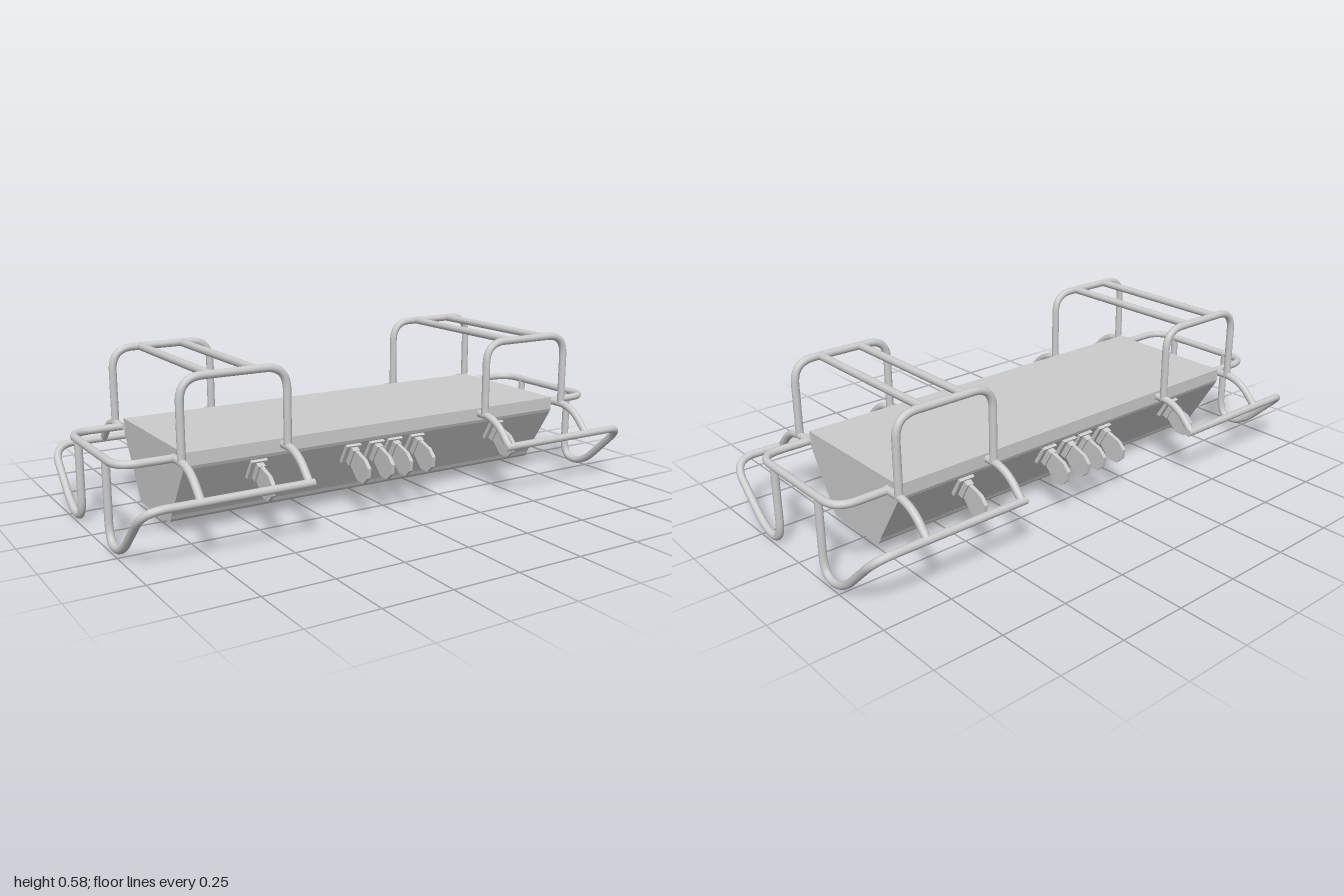
import * as THREE from 'three';

const mat = new THREE.MeshStandardMaterial({ color: 0xcccccc });
const R = 0.014; // pipe radius

// Capped pipe through corner points, each corner rounded by up to `bend`.
function pipe(name, pts, bend = 0.08) {
  const v = pts.map(p => new THREE.Vector3(...p));
  const path = new THREE.CurvePath();
  let from = v[0];
  for (let i = 1; i < v.length - 1; i++) {
    const toward = (q, half) => {
      const d = q.clone().sub(v[i]);
      const len = d.length();
      return d.multiplyScalar(Math.min(bend, len * half) / len).add(v[i]);
    };
    const a = toward(v[i - 1], i === 1 ? 0.9 : 0.49);
    const b = toward(v[i + 1], i === v.length - 2 ? 0.9 : 0.49);
    path.add(new THREE.LineCurve3(from, a));
    path.add(new THREE.QuadraticBezierCurve3(a, v[i], b));
    from = b;
  }
  path.add(new THREE.LineCurve3(from, v[v.length - 1]));
  const group = new THREE.Group();
  group.name = name;
  const tube = new THREE.Mesh(new THREE.TubeGeometry(path, v.length > 2 ? 30 * (v.length - 1) : 1, R, 12), mat);
  tube.name = name + 'Tube';
  group.add(tube);
  for (const [end, before] of [[v[0], v[1]], [v[v.length - 1], v[v.length - 2]]]) {
    const cap = new THREE.Mesh(new THREE.CircleGeometry(R, 12), mat);
    cap.name = name + 'Cap';
    cap.position.copy(end);
    cap.quaternion.setFromUnitVectors(new THREE.Vector3(0, 0, 1), end.clone().sub(before).normalize());
    group.add(cap);
  }
  return group;
}

// Cross-section in (z, y), extruded along x and centred.
function slab(name, section, width) {
  const shape = new THREE.Shape(section.map(p => new THREE.Vector2(...p)));
  const geo = new THREE.ExtrudeGeometry(shape, { depth: width, bevelEnabled: false });
  geo.translate(0, 0, -width / 2).rotateY(-Math.PI / 2);
  const mesh = new THREE.Mesh(geo, mat);
  mesh.name = name;
  return mesh;
}

// Valve: wide flange on the sloped wall, neck and thin paddle.
function valve() {
  const g = new THREE.Group();
  g.name = 'valve';
  g.add(
    slab('valveFlange', [[0.262, 0.256], [0.222, 0.187], [0.238, 0.181], [0.277, 0.249]], 0.06),
    slab('valveNeck', [[0.272, 0.245], [0.235, 0.184], [0.26, 0.176], [0.294, 0.236]], 0.026),
    slab('valvePaddle', [[0.29, 0.236], [0.349, 0.216], [0.374, 0.19], [0.369, 0.154],
      [0.342, 0.13], [0.304, 0.132], [0.26, 0.176]], 0.014)
  );
  return g;
}

export function createModel() {
  const model = new THREE.Group();
  model.name = 'framedTank';

  // Tank: flat lid, sloped walls, rounded lower edges
  const half = [[0.12, 0.04], [0.134, 0.045], [0.143, 0.055], [0.15, 0.07], [0.268, 0.258], [0.273, 0.27], [0.273, 0.316]];
  const section = [...half, ...half.map(([z, y]) => [-z, y]).reverse()];
  model.add(slab('tank', section, 1.55));

  // Valves along both long walls
  for (const turn of [0, Math.PI]) {
    for (const x of [-0.507, -0.138, -0.04, 0.038, 0.135, 0.505]) {
      const v = valve();
      v.position.x = x;
      v.rotation.y = turn;
      model.add(v);
    }
  }

  // Tube frame at each end
  for (const s of [-1, 1]) {
    const xo = s * 0.795, xi = s * 0.417, xe = s * 0.985;
    const frame = new THREE.Group();
    frame.name = s > 0 ? 'leftFrame' : 'rightFrame';

    for (const x of [0.53, 0.69]) {
      frame.add(pipe('crossBar', [[s * x, 0.567, -0.305], [s * x, 0.567, 0.305]]));
    }
    frame.add(pipe('endLoop', [[xo, 0.295, 0.243], [xe, 0.295, 0.243], [xe, 0.295, -0.243], [xo, 0.295, -0.243]]));

    for (const t of [-1, 1]) {
      frame.add(pipe('hoop', [[xo, 0.29, t * 0.305], [xo, 0.567, t * 0.305], [xi, 0.567, t * 0.305], [xi, 0.29, t * 0.305]]));
      // Arms that carry the outer rail
      frame.add(pipe('outerArm', [[xo, 0.205, t * 0.45], [xo, 0.296, t * 0.365], [xo, 0.295, t * 0.235]], 0.07));
      frame.add(pipe('innerArm', [[xi, 0.205, t * 0.45], [xi, 0.296, t * 0.365], [xi, 0.295, t * 0.265]], 0.07));
      // Outer rail, turning down into the foot and back up to the end loop
      frame.add(pipe('railAndFoot', [[s * 0.4, 0.205, t * 0.45], [xe, 0.205, t * 0.45], [xe, 0.014, t * 0.25],
        [xe, 0.014, t * 0.14], [xe, 0.295, t * 0.14]]));
    }
    model.add(frame);
  }
  return model;
}
